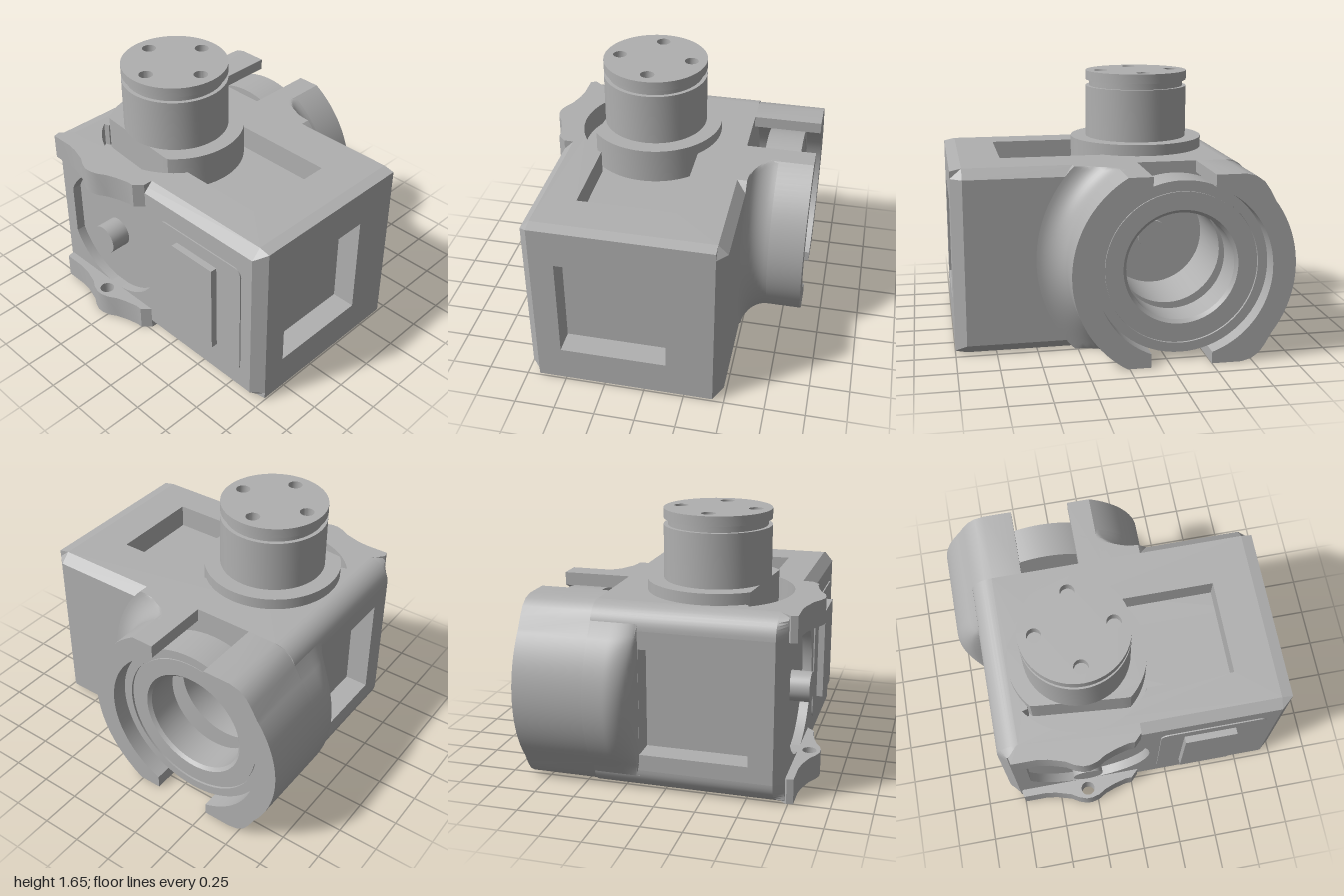
import * as THREE from 'three';
import { toCreasedNormals } from 'three/addons/utils/BufferGeometryUtils.js';

const grey = new THREE.MeshStandardMaterial({ color: 0xb0b0b0, side: THREE.DoubleSide });
grey.name = 'metal grey';

const rect = (a0, b0, a1, b1) => [[a0, b0], [a1, b0], [a1, b1], [a0, b1]];

// points on an arc, angles in degrees
function arc(ca, cb, r, from, to, n = 40) {
  return Array.from({ length: n + 1 }, (_, i) => {
    const t = THREE.MathUtils.degToRad(from + ((to - from) * i) / n);
    return [ca + r * Math.cos(t), cb + r * Math.sin(t)];
  });
}
const circle = (ca, cb, r, n = 48) => arc(ca, cb, r, 0, 360 - 360 / n, n - 1);

// prism along an axis; outline is [z,y] for x, [x,z] for y, [x,y] for z
function prism(axis, outline, from, to, holes = [], steps = 1) {
  const conv = (pts) => pts.map(([a, b]) =>
    new THREE.Vector2(axis === 'x' ? -a : a, axis === 'y' ? -b : b));
  const shape = new THREE.Shape(conv(outline));
  for (const h of holes) shape.holes.push(new THREE.Path(conv(h)));
  const g = new THREE.ExtrudeGeometry(shape, { depth: to - from, steps, bevelEnabled: false });
  g.translate(0, 0, from);
  if (axis === 'x') g.rotateY(Math.PI / 2);
  if (axis === 'y') g.rotateX(-Math.PI / 2);
  return g;
}

// move every vertex by a rule
function warp(g, rule) {
  const p = g.attributes.position, v = new THREE.Vector3();
  for (let i = 0; i < p.count; i++) {
    v.fromBufferAttribute(p, i);
    rule(v);
    p.setXYZ(i, v.x, v.y, v.z);
  }
  return g;
}

const H = 1.15, CY = H / 2, RZ = -0.33; // body height, side ring centre
const clamp = THREE.MathUtils.clamp;

export function createModel() {
  const model = new THREE.Group();
  model.name = 'jointHousing';
  const add = (name, geo, parent = model) => {
    const m = new THREE.Mesh(toCreasedNormals(geo, 0.5), grey);
    m.name = name;
    parent.add(m);
    return m;
  };

  // --- body core, bored from the side ---
  add('coreLeft', prism('x', rect(-0.68, 0.15, 0.85, 1.0), -0.67, 0));
  add('coreRight', prism('x', rect(-0.68, 0.15, 0.85, 1.0), 0, 0.43, [circle(RZ, CY, 0.33)]));
  add('boreHub', prism('x', circle(RZ, CY, 0.1), 0, 0.03));

  // --- front wall with window and chamfered rim ---
  const win = rect(-0.52, 0.24, 0.14, 0.9);
  const octagon = [[-0.67, 0], [0.43, 0], [0.49, 0.06], [0.49, 1.09], [0.43, H], [-0.67, H], [-0.73, 1.09], [-0.73, 0.06]];
  add('frontRim', warp(prism('z', octagon, 0.93, 1.0, [win]), (v) => {
    if (v.z > 0.99) {
      v.x = clamp(v.x, -0.67, 0.43);
      v.y = clamp(v.y, 0.015, H - 0.015);
    }
  }));
  add('frontWall', prism('z', rect(-0.67, 0.15, 0.43, 1.0), 0.85, 0.93, [win]));

  // --- back wall, rounded top and bottom edges, chamfered corner ---
  add('backWall', prism('z', rect(-0.67, 0.14, 0.43, 1.01), -0.83, -0.68, [win]));
  add('backCorner', prism('y', [[-0.67, -0.83], [-0.73, -0.77], [-0.73, -0.68], [-0.67, -0.68]], 0.14, 1.01));
  for (const s of [1, -1]) {
    const quarter = [[-0.69, CY + s * 0.435], ...arc(-0.69, CY + s * 0.435, 0.14, s * 90, s * 180, 10)];
    add('backEdge', prism('x', quarter, -0.67, 0.43));
    add('backEdgeCorner', warp(prism('x', quarter, -0.73, -0.67), (v) => {
      if (v.x < -0.72) v.z = Math.max(v.z, -0.77);
    }));
  }

  // --- top and bottom walls with windows ---
  const topHole = [[0.14, 0.68], [-0.46, 0.68], [-0.46, 0.13],
    ...arc(-0.19, -0.25, 0.475, 126, 234, 24), [-0.46, -0.6], [0.05, -0.58], [0.14, -0.45]];
  add('topWall', prism('y', rect(-0.67, -0.69, 0.43, 0.93), 1.0, H, [topHole]));
  add('bottomWall', prism('y', rect(-0.67, -0.69, 0.43, 0.93), 0, 0.15, [rect(-0.46, -0.45, 0.14, 0.68)]));

  // --- side walls ---
  add('rightWall', prism('z', [[0.43, 0], [0.49, 0.06], [0.49, 1.09], [0.43, H]], 0.2, 0.93));
  add('leftWall', prism('x', rect(-0.77, 0.06, 0.93, 1.09), -0.73, -0.67, [circle(-0.3, CY, 0.418)]));
  for (const [y0, y1] of [[0, 0.06], [H, 1.09]])
    add('leftChamfer', prism('z', [[-0.67, y0], [-0.67, y1], [-0.73, y1]], -0.69, 0.93));

  // --- left side details ---
  add('leftBoss', prism('x', circle(-0.3, CY, 0.095, 32), -0.8, -0.66));
  add('leftCover', prism('x', [
    ...arc(0.8, 0.92, 0.05, 0, 90, 6), ...arc(0.23, 0.92, 0.05, 90, 180, 6),
    ...arc(0.23, 0.23, 0.05, 180, 270, 6), ...arc(0.8, 0.23, 0.05, 270, 360, 6)], -0.738, -0.73));
  add('leftPad', prism('x', rect(0.33, 0.28, 0.66, 0.88), -0.78, -0.73));
  const lug = [[-0.67, 0.05], [-0.73, 0.05], [-0.78, 0], [-0.78, -0.04], [-0.8, -0.12], [-0.825, -0.19], [-0.855, -0.24],
    [-0.868, -0.29], [-0.868, -0.33], [-0.85, -0.38], [-0.82, -0.43], [-0.79, -0.53], [-0.78, -0.6],
    [-0.78, -0.75], [-0.74, -0.76], [-0.67, -0.7]];
  add('topLug', prism('y', lug, 0.99, H));
  add('bottomLug', prism('y', lug, 0, 0.16, [circle(-0.8, -0.31, 0.045, 24)]));

  // --- side ring: front and back jaws either side of a slot ---
  const deg = THREE.MathUtils.radToDeg;
  const aOut = deg(Math.asin(CY / 0.67));
  const aFront = deg(Math.acos(0.2 / 0.53)), aBack = deg(Math.acos(0.17 / 0.53));
  add('ringFrontJaw', prism('x', [[-0.13, 0], ...arc(RZ, CY, 0.67, -aOut, aOut), [-0.13, H],
    ...arc(RZ, CY, 0.53, aFront, -aFront)], 0.43, 0.87));
  const backOutline = [[-0.68, H], [-0.74, 1.135], [-0.79, 1.1], [-0.825, 1.05],
    ...arc(RZ, CY, 0.67, 143, 217, 32), [-0.825, 0.1], [-0.79, 0.05], [-0.74, 0.015], [-0.68, 0]];
  add('ringBackJaw', prism('x', [[-0.5, H], ...backOutline, [-0.5, 0],
    ...arc(RZ, CY, 0.53, 180 + aBack, 180 - aBack)], 0.43, 0.87));

  // bulge of the ring on the back wall, rounded off at its inner end
  add('backBulge', warp(prism('x', backOutline.slice(3, -3), 0.14, 0.43, [], 20), (v) => {
    if (v.z < -0.825) {
      const t = clamp((0.3 - v.x) / 0.16, 0, 1);
      v.z = -0.825 + (v.z + 0.825) * Math.sqrt(1 - t * t);
    }
  }));

  // concave fillet from the ring to the right wall, trimmed flat at top and bottom
  const flareProfile = [[0.83, 0.43], ...arc(0.83, 0.65, 0.16, 270, 180, 12)]
    .map(([r, x]) => new THREE.Vector2(r, x));
  const span = THREE.MathUtils.degToRad(72);
  const flare = new THREE.LatheGeometry(flareProfile, 72, -span, 2 * span);
  flare.rotateZ(-Math.PI / 2).translate(0, CY, RZ);
  add('ringFillet', warp(flare, (v) => { v.y = clamp(v.y, 0, H); }));

  // --- bearing inside the ring ---
  const bearing = new THREE.LatheGeometry([
    [0.33, 0.54], [0.528, 0.54], [0.528, 0.77], [0.47, 0.77], [0.47, 0.755], [0.46, 0.755],
    [0.46, 0.765], [0.35, 0.765], [0.33, 0.745], [0.33, 0.54],
  ].map(([r, x]) => new THREE.Vector2(r, x)), 72);
  bearing.rotateZ(-Math.PI / 2).translate(0, CY, RZ);
  add('bearing', bearing);

  // --- rotor on top ---
  const rotor = new THREE.Group();
  rotor.name = 'rotor';
  rotor.position.set(-0.19, 0, -0.25);
  model.add(rotor);
  const flange = warp(prism('y', circle(0, 0, 0.43, 72), 0.99, 1.22), (v) => {
    v.x = Math.max(v.x, -0.29 - 0.09 * (v.z + 0.2)); // slanted flat
  });
  add('flange', flange, rotor);
  add('rotorBody', prism('y', circle(0, 0, 0.33, 64), 1.22, 1.55), rotor);
  add('rotorGroove', prism('y', circle(0, 0, 0.305, 64), 1.55, 1.59), rotor);
  const boltHoles = [0, 1, 2, 3].map((i) =>
    circle(0.232 * Math.cos((i * Math.PI) / 2), 0.232 * Math.sin((i * Math.PI) / 2), 0.044, 24));
  add('rotorCap', prism('y', circle(0, 0, 0.33, 64), 1.59, 1.65, boltHoles), rotor);

  return model;
}
